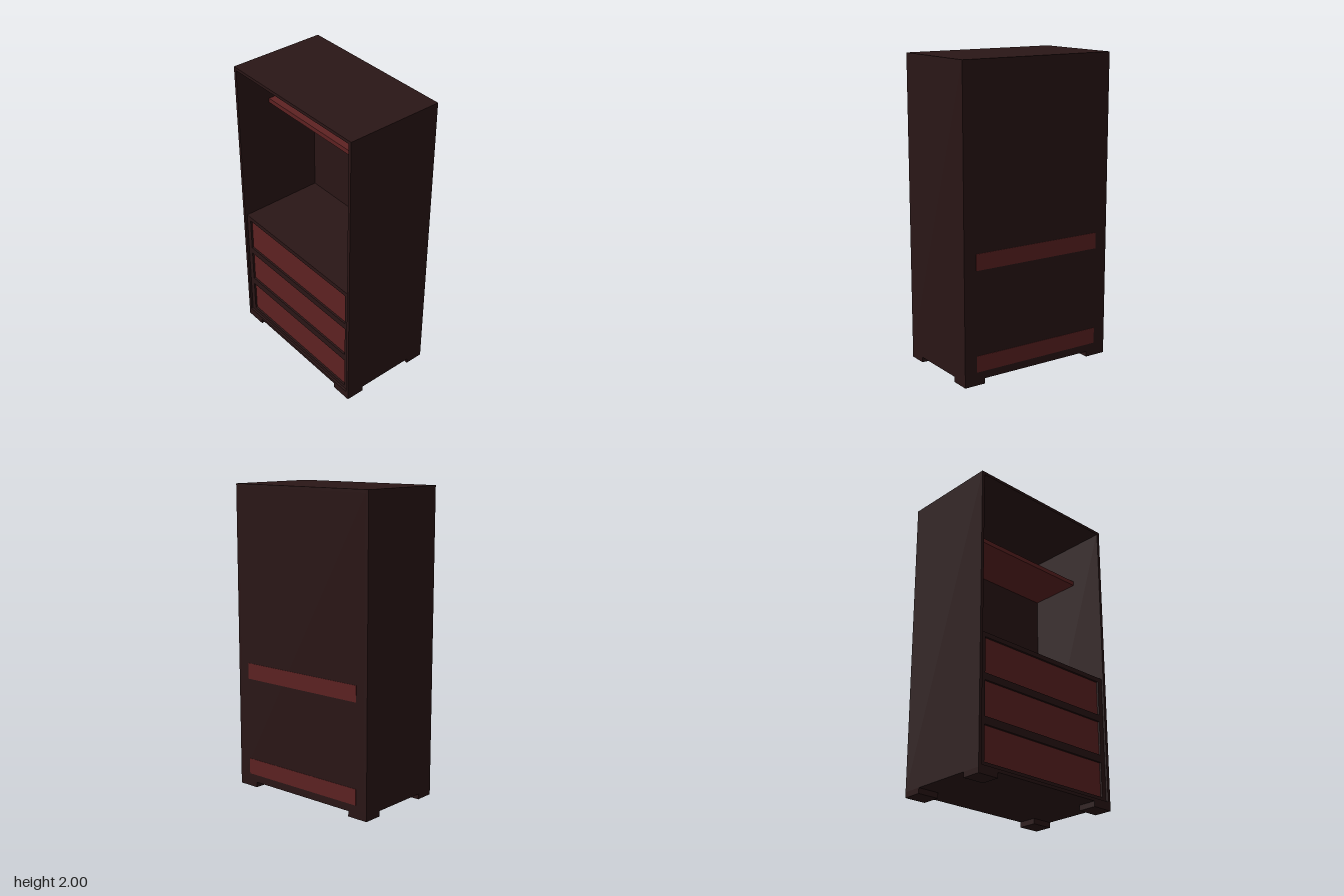
import * as THREE from 'three';

const W = 1.09, D = 0.65, H = 2, T = 0.02, FOOT = 0.035;
const IN = W / 2 - T; // inner half width

export function createModel() {
  const group = new THREE.Group();
  const dark = new THREE.MeshStandardMaterial({ color: 0x2a1616 });
  const red = new THREE.MeshStandardMaterial({ color: 0x5e2222 });

  // Box given by its limits on each axis
  function box(name, [x0, x1], [y0, y1], [z0, z1], material = dark) {
    const mesh = new THREE.Mesh(new THREE.BoxGeometry(x1 - x0, y1 - y0, z1 - z0), material);
    mesh.position.set((x0 + x1) / 2, (y0 + y1) / 2, (z0 + z1) / 2);
    mesh.name = name;
    group.add(mesh);
  }

  const depth = [-D / 2, D / 2];
  const inner = [-IN, IN];

  // Carcass
  box('leftSide', [IN, W / 2], [FOOT, H], depth);
  box('rightSide', [-W / 2, -IN], [FOOT, H], depth);
  box('topPanel', inner, [H - T, H], depth);
  box('bottomPanel', inner, [FOOT, FOOT + T], depth);
  box('backPanel', inner, [FOOT + T, H - T], [-D / 2, -0.27]);

  // Corner feet
  for (const sx of [-1, 1]) for (const sz of [-1, 1]) {
    const xs = [sx * 0.4, sx * W / 2].sort((a, b) => a - b);
    const zs = [sz * 0.2, sz * D / 2].sort((a, b) => a - b);
    box('foot', xs, [0, FOOT], zs);
  }

  // Drawer section: shelf on top, frame with three openings, inset drawer fronts
  box('middleShelf', inner, [0.865, 0.885], [-0.27, 0.31]);
  const drawers = [[0.08, 0.305], [0.355, 0.58], [0.625, 0.855]];
  const frame = new THREE.Shape([
    new THREE.Vector2(-IN, FOOT + T), new THREE.Vector2(IN, FOOT + T),
    new THREE.Vector2(IN, 0.865), new THREE.Vector2(-IN, 0.865),
  ]);
  for (const [y0, y1] of drawers) {
    frame.holes.push(new THREE.Path([
      new THREE.Vector2(-0.49, y0), new THREE.Vector2(-0.49, y1),
      new THREE.Vector2(0.49, y1), new THREE.Vector2(0.49, y0),
    ]));
    box('drawerFront', [-0.49, 0.49], [y0, y1], [0.27, 0.297], red);
  }
  const frameMesh = new THREE.Mesh(
    new THREE.ExtrudeGeometry(frame, { depth: 0.03, bevelEnabled: false }), dark);
  frameMesh.position.z = 0.28;
  frameMesh.name = 'drawerFrame';
  group.add(frameMesh);

  // Upper shelf
  box('upperShelf', inner, [1.67, 1.7], [-0.27, 0.09], red);

  // Rails set in the back
  for (const y of [0.085, 0.735]) {
    box('backRail', [-0.46, 0.46], [y, y + 0.105], [-0.327, -0.3], red);
  }

  return group;
}
